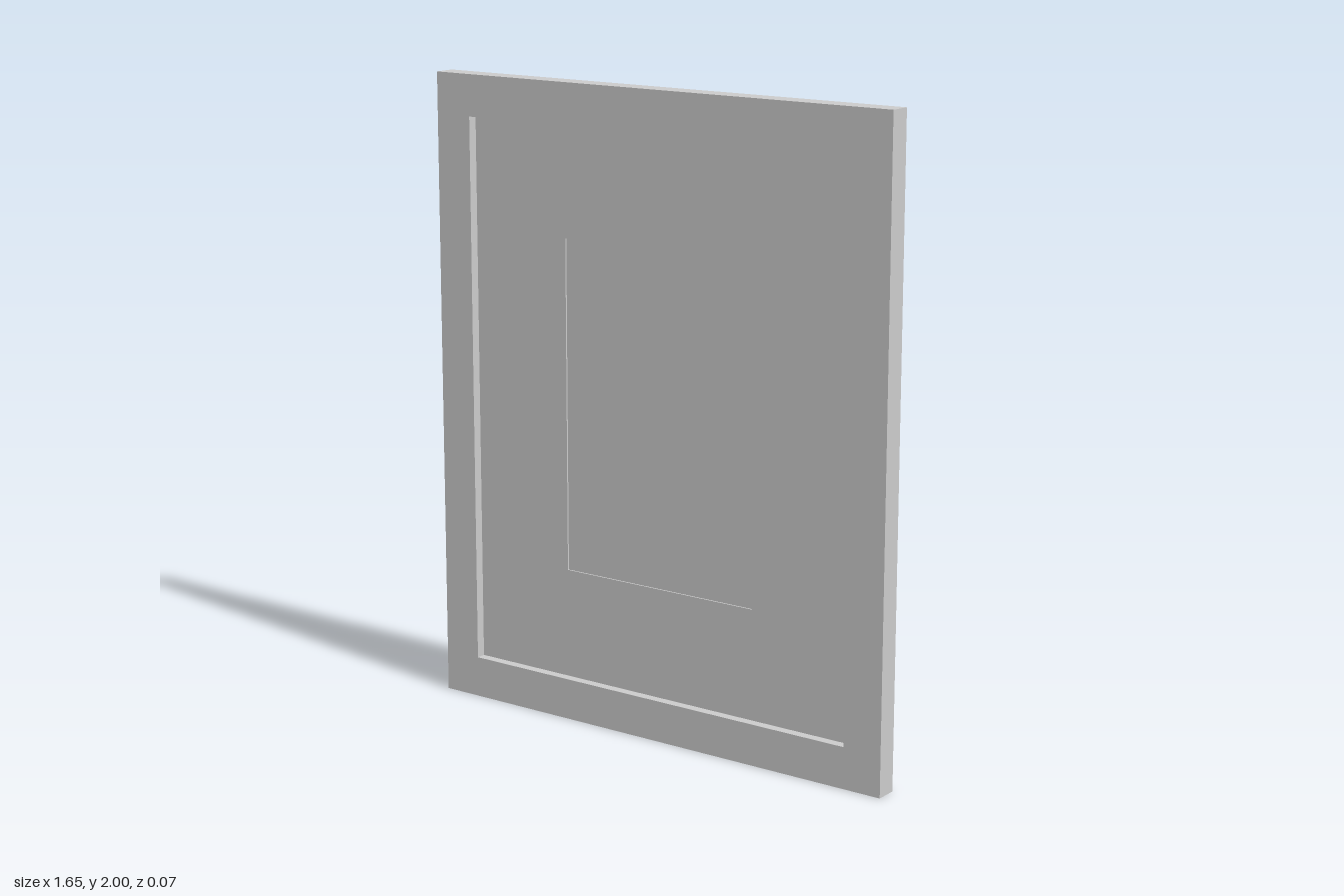
import * as THREE from 'three';

const W = 0.823, H = 1;           // frame half width and half height
const BORDER = 0.127, DEPTH = 0.07;
const IW = W - BORDER, IH = H - 0.13; // half size of the frame opening
const MAT_W = 0.348, MAT_H = 0.523;   // half size of the mat window

const material = new THREE.MeshStandardMaterial({ color: 0xcccccc, flatShading: true });

const rect = (w, h) => [[-w, -h], [w, -h], [w, h], [-w, h]].map(([x, y]) => new THREE.Vector2(x, y));

// Flat part of a given outline, from z0 forward by depth
function slab(name, points, z0, depth, hole) {
  const shape = new THREE.Shape(points);
  if (hole) shape.holes.push(new THREE.Path(hole));
  const geometry = new THREE.ExtrudeGeometry(shape, { depth, bevelEnabled: false });
  geometry.translate(0, H, z0);
  const mesh = new THREE.Mesh(geometry, material);
  mesh.name = name;
  return mesh;
}

export function createModel() {
  const group = new THREE.Group();
  group.name = 'pictureFrame';

  // Four mitred rails
  const outer = rect(W, H), inner = rect(IW, IH);
  ['bottomRail', 'leftRail', 'topRail', 'rightRail'].forEach((name, i) => {
    const j = (i + 1) % 4;
    group.add(slab(name, [outer[i], outer[j], inner[j], inner[i]], -DEPTH / 2, DEPTH));
  });

  // Mat with a window, and the backing board behind it
  group.add(slab('mat', rect(IW, IH), 0, 0.005, rect(MAT_W, MAT_H)));
  group.add(slab('backingBoard', rect(IW, IH), -0.005, 0.005));

  return group;
}
